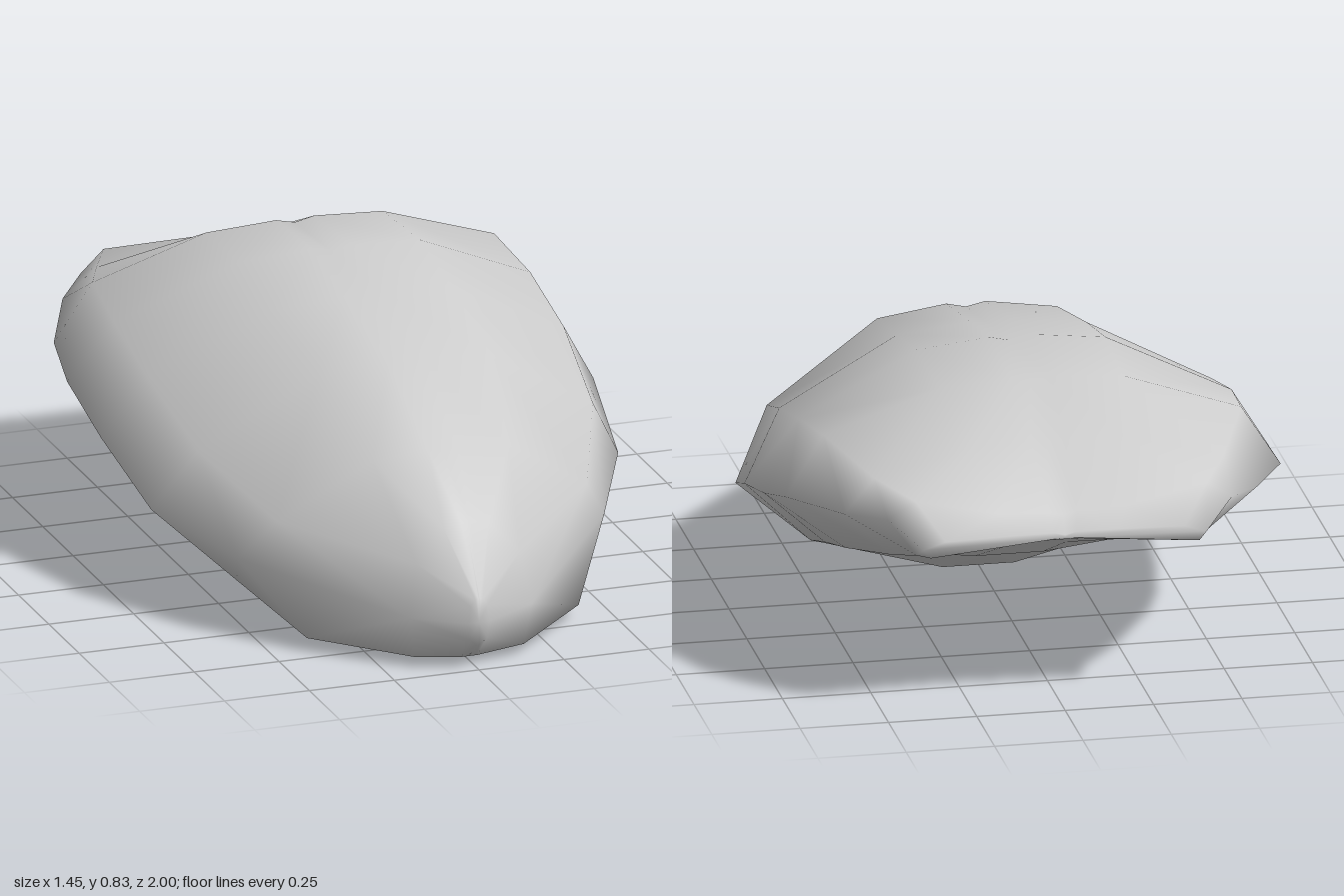
import * as THREE from 'three';

// Slanted rings from nose to tail:
// ridge z, y | shoulder y | side x, y, z | lower edge x, y, z | keel y, z
const RINGS = [
  [1.0, 0.21, 0.19, 0.03, 0.14, 1.0, 0.025, 0.09, 0.995, 0.07, 0.99],
  [0.89, 0.4, 0.3, 0.18, 0.15, 0.93, 0.16, 0.03, 0.92, 0.01, 0.91],
  [0.7, 0.55, 0.36, 0.54, 0.23, 0.52, 0.4, 0.04, 0.7, 0.015, 0.72],
  [0.4, 0.71, 0.48, 0.688, 0.29, 0.22, 0.5, 0.12, 0.4, 0.022, 0.5],
  [0.05, 0.78, 0.59, 0.725, 0.4, -0.09, 0.5, 0.15, 0.1, 0.0, 0.22],
  [-0.22, 0.83, 0.655, 0.725, 0.47, -0.37, 0.5, 0.215, -0.1, 0.1, 0.07],
  [-0.52, 0.813, 0.69, 0.7, 0.52, -0.55, 0.49, 0.285, -0.35, 0.18, -0.2],
  [-0.75, 0.71, 0.64, 0.585, 0.55, -0.8, 0.42, 0.375, -0.68, 0.35, -0.6],
  [-0.97, 0.575, 0.625, 0.487, 0.57, -0.925, 0.4, 0.45, -0.9, 0.46, -0.88],
  [-1.0, 0.525, 0.52, 0.4, 0.5, -1.0, 0.38, 0.475, -1.0, 0.505, -1.0],
];
const mix = THREE.MathUtils.lerp;

// Closed ring: right half from keel to ridge, then its mirror image
function ringPoints([zT, yT, yH, xS, yS, zS, xL, yL, zL, yK, zK]) {
  const half = [
    [0, yK, zK],
    [0.14 * xS, yK, zK],
    [xL, yL, zL],
    [xS, yS, zS],
    [0.845 * xS, yH, mix(zT, zS, 0.5)],
    [0.37 * xS, mix(yT, yH, 0.1), mix(zT, zS, 0.1)],
    [0.08 * xS, yT, zT],
    [0, yT - 0.018 * xS, zT], // shallow groove along the ridge
  ];
  const mirrored = half.slice(1, -1).reverse().map(([x, y, z]) => [-x, y, z]);
  return [...half, ...mirrored].map((p) => new THREE.Vector3(...p));
}

function shellGeometry() {
  const points = RINGS.flatMap(ringPoints);
  const sides = points.length / RINGS.length;
  const index = [];
  for (let k = 0; k < RINGS.length - 1; k++) {
    for (let i = 0; i < sides; i++) {
      const a = k * sides + i, b = k * sides + ((i + 1) % sides);
      const c = a + sides, d = b + sides;
      // split each quad along its shorter diagonal
      if (points[a].distanceTo(points[d]) < points[b].distanceTo(points[c])) {
        index.push(a, c, d, a, d, b);
      } else {
        index.push(a, c, b, b, c, d);
      }
    }
  }
  // close the nose and the tail
  const last = points.length - sides;
  const nose = points.length;
  points.push(new THREE.Vector3(0, 0.14, 1), new THREE.Vector3(0, 0.51, -1));
  for (let i = 0; i < sides; i++) {
    const j = (i + 1) % sides;
    index.push(nose, i, j, nose + 1, last + j, last + i);
  }
  const geometry = new THREE.BufferGeometry().setFromPoints(points);
  geometry.setIndex(index);
  geometry.computeVertexNormals();
  return geometry;
}

export function createModel() {
  const group = new THREE.Group();
  group.name = 'roundedShell';
  const shell = new THREE.Mesh(
    shellGeometry(),
    new THREE.MeshStandardMaterial({ color: 0xcccccc })
  );
  shell.name = 'shell';
  group.add(shell);
  return group;
}
